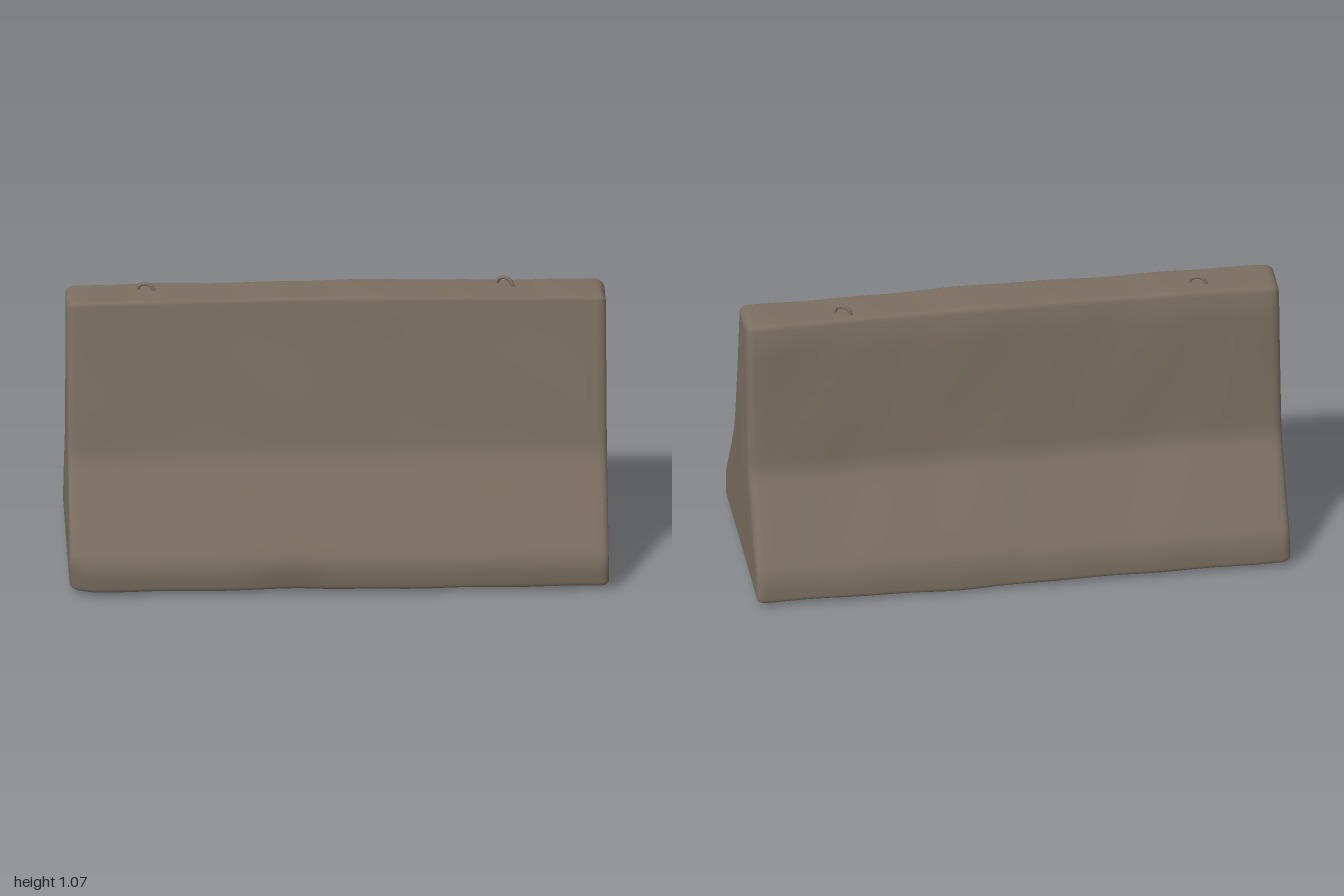
import * as THREE from 'three';

// Barrier cross-section as [z, y, corner radius], running from the front foot over the top to the back foot
const OUTLINE = [
  [0.4, 0.018, 0.02], [0.408, 0.125, 0.05], [0.182, 0.462, 0.05], [0.056, 1.036, 0.014],
  [-0.112, 1.036, 0.016], [-0.13, 0.97, 0.05], [-0.184, 0.45, 0.04], [-0.395, 0.12, 0.05], [-0.402, 0.018, 0.02],
];

// Rounds each corner and subdivides the straights into an even closed loop
function makeProfile() {
  const n = OUTLINE.length, pts = [];
  const v = OUTLINE.map(([z, y]) => new THREE.Vector2(z, y));
  const toward = (a, b, d) => a.clone().add(b.clone().sub(a).setLength(d));
  for (let i = 0; i < n; i++) {
    const p = v[i], next = v[(i + 1) % n], r = OUTLINE[i][2];
    const a = toward(p, v[(i + n - 1) % n], r), b = toward(p, next, r);
    const curve = new THREE.QuadraticBezierCurve(a, p, b);
    pts.push(...curve.getPoints(4));
    const end = toward(next, p, OUTLINE[(i + 1) % n][2]);
    const steps = Math.max(1, Math.round(b.distanceTo(end) / 0.06));
    for (let s = 1; s < steps; s++) pts.push(b.clone().lerp(end, s / steps));
  }
  return pts;
}

// Gentle weathering: smooth waves across the surface
const wave = (x, y, z) =>
  0.0025 * Math.sin(7 * x + 5 * y + 2) * Math.cos(6 * y - 4 * z) + 0.0015 * Math.sin(17 * x - 9 * z + 11 * y);
const bump = (x, centre, width) => Math.exp(-(((x - centre) / width) ** 2));

function barrierGeometry() {
  const profile = makeProfile(), n = profile.length;
  const normals = profile.map((p, i) => {
    const d = profile[(i + 1) % n].clone().sub(profile[(i + n - 1) % n]).normalize();
    return new THREE.Vector2(d.y, -d.x);
  });

  // Stations along x, with the end edges rounded by insetting the section
  const stations = [];
  const round = [[0, 1], [0.003, 0.65], [0.009, 0.35], [0.018, 0.13], [0.032, 0]];
  for (const [d, inset] of round) stations.push([-0.994 + d, inset]);
  for (let i = 1; i < 40; i++) stations.push([-0.962 + (1.924 * i) / 40, 0]);
  for (const [d, inset] of [...round].reverse()) stations.push([0.994 - d, inset]);

  const pos = [], index = [];
  for (const [x, inset] of stations) {
    profile.forEach((p, i) => {
      const amount = inset * (p.x < 0 && x > 0 && p.y > 0.2 ? 0.034 : 0.018);
      const w = wave(x, p.y, p.x) - amount;
      let z = p.x + normals[i].x * w, y = p.y + normals[i].y * w;
      const foot = 1 - THREE.MathUtils.smoothstep(p.y, 0.03, 0.2);
      // Crowned top, sagging underside, chipped front foot, worn left corner
      y += 0.011 * (1 - x * x) * THREE.MathUtils.smoothstep(p.y, 0.9, 1.03);
      y -= foot * 0.017 * bump(x, 0.25, 0.28) * bump(p.x, -0.13, 0.35);
      if (p.x > 0.3) z -= foot * (0.015 * bump(x, -0.14, 0.11) + 0.03 * bump(x, -1, 0.05));
      pos.push(x, y, z);
    });
  }
  for (let s = 0; s < stations.length - 1; s++) {
    for (let i = 0; i < n; i++) {
      const j = (i + 1) % n, a = s * n + i, b = s * n + j;
      index.push(a, a + n, b, b, a + n, b + n);
    }
  }
  // End faces: fans around a slightly bulged centre
  for (const side of [-1, 1]) {
    const start = side < 0 ? 0 : (stations.length - 1) * n, c = pos.length / 3;
    for (let i = 0; i < n; i++) pos.push(...pos.slice((start + i) * 3, (start + i) * 3 + 3));
    pos.push(side * 0.999, 0.42, 0);
    for (let i = 0; i < n; i++) {
      const a = c + i, b = c + ((i + 1) % n);
      index.push(...(side < 0 ? [a, b, c + n] : [b, a, c + n]));
    }
  }
  const g = new THREE.BufferGeometry();
  g.setAttribute('position', new THREE.Float32BufferAttribute(pos, 3));
  g.setIndex(index);
  g.computeVertexNormals();
  return g;
}

export function createModel() {
  const concrete = new THREE.MeshStandardMaterial({ color: 0x7a6e60 });
  concrete.name = 'concrete';
  const model = new THREE.Group();
  model.name = 'concreteBarrier';

  const body = new THREE.Mesh(barrierGeometry(), concrete);
  body.name = 'barrierBody';
  model.add(body);

  // Bent-bar lifting loops set into the top
  const path = new THREE.CatmullRomCurve3(
    [[-0.035, -0.03], [-0.032, 0.005], [-0.022, 0.025], [0, 0.033], [0.022, 0.025], [0.032, 0.005], [0.035, -0.03]]
      .map(([x, y]) => new THREE.Vector3(x, y, 0)));
  const loopGeometry = new THREE.TubeGeometry(path, 24, 0.007, 8);
  for (const [name, x, z, turn] of [['rightLiftingLoop', -0.7, -0.047, -0.3], ['leftLiftingLoop', 0.625, -0.06, -0.5]]) {
    const loop = new THREE.Mesh(loopGeometry, concrete);
    loop.name = name;
    loop.position.set(x, 1.035, z);
    loop.rotation.y = turn;
    model.add(loop);
  }
  return model;
}
